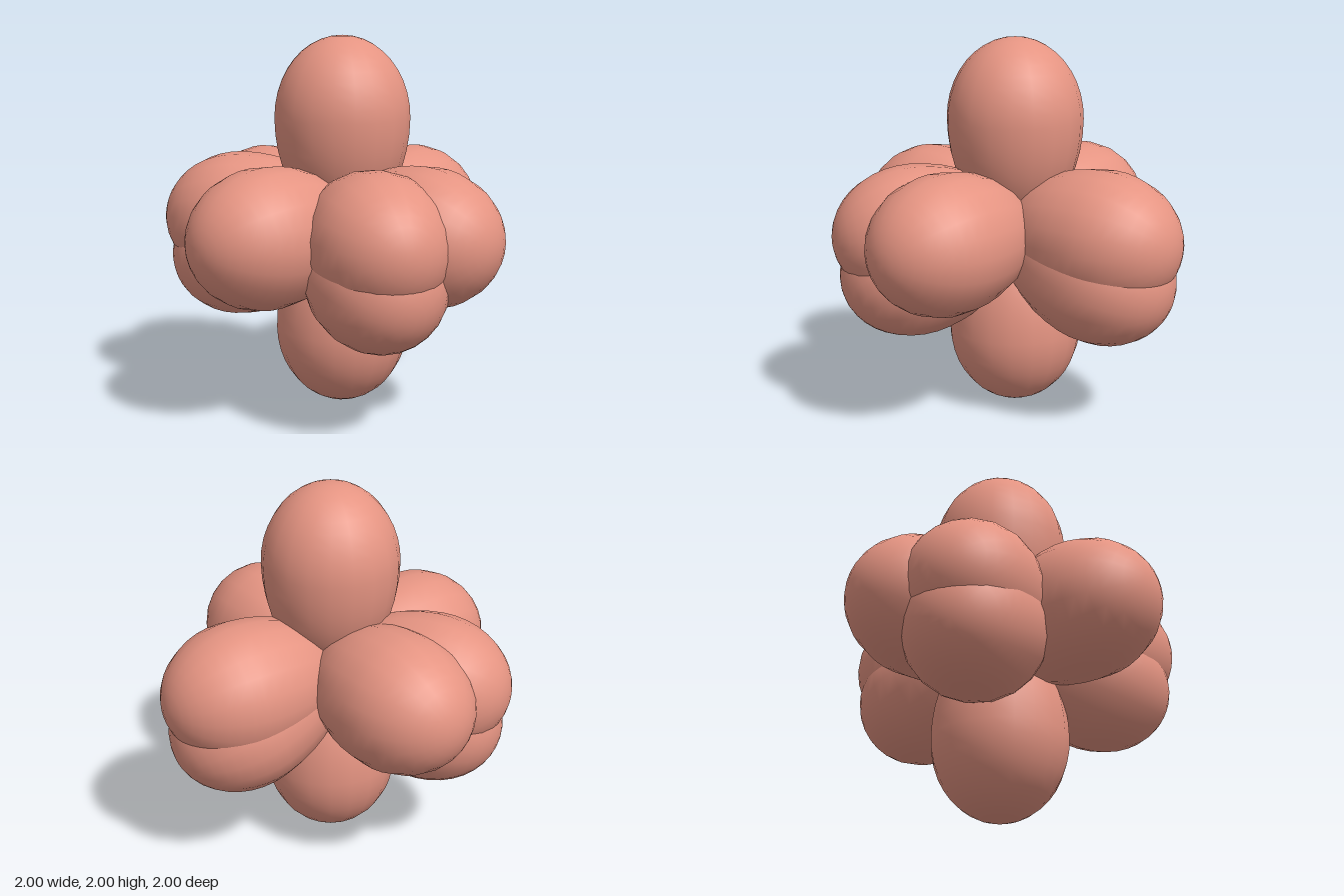
import * as THREE from 'three';

const RADIUS = 0.363;  // widest half-width of a lobe
const REACH = 0.57;    // distance from the middle to the widest ring
const TIP = 0.43;      // length of the outer half

// Egg-shaped lobe along +y, its narrow root at the origin
function lobeGeometry() {
  const geo = new THREE.SphereGeometry(1, 20, 20);
  const pos = geo.attributes.position;
  const nor = geo.attributes.normal;
  const n = new THREE.Vector3();
  for (let i = 0; i < pos.count; i++) {
    const x = pos.getX(i), y = pos.getY(i), z = pos.getZ(i);
    const half = y > 0 ? TIP : REACH;
    n.set(x / RADIUS, y / half, z / RADIUS).normalize();
    nor.setXYZ(i, n.x, n.y, n.z);
    pos.setXYZ(i, x * RADIUS, REACH + y * half, z * RADIUS);
  }
  return geo;
}

// Direction from yaw (0 = front, 90 = +x) and pitch, in degrees
function direction(yaw, pitch) {
  const a = THREE.MathUtils.degToRad(yaw);
  const p = THREE.MathUtils.degToRad(pitch);
  return new THREE.Vector3(
    Math.sin(a) * Math.cos(p), Math.sin(p), Math.cos(a) * Math.cos(p));
}

export function createModel() {
  const group = new THREE.Group();
  group.name = 'lobedCluster';
  const material = new THREE.MeshStandardMaterial({ color: 0xe59482 });
  const geometry = lobeGeometry();
  const up = new THREE.Vector3(0, 1, 0);

  const lobes = [
    // Six lobes on the main axes
    ['topLobe', 0, 90],
    ['bottomLobe', 0, -90],
    ['frontLobe', 0, 0],
    ['backLobe', 180, 0],
    ['leftLobe', 90, 0],
    ['rightLobe', -90, 0],
    // Extra lobes, level and drooping
    ['lowerLeftLobe', 90, -18],
    ['frontRightLobe', -29, 0],
    ['backRightLobe', -151, 0],
    ['lowerFrontRightLobe', -29, -18],
    ['lowerBackRightLobe', -151, -18],
  ];

  for (const [name, yaw, pitch] of lobes) {
    const lobe = new THREE.Mesh(geometry, material);
    lobe.name = name;
    lobe.quaternion.setFromUnitVectors(up, direction(yaw, pitch));
    lobe.position.y = 1;
    group.add(lobe);
  }
  return group;
}
